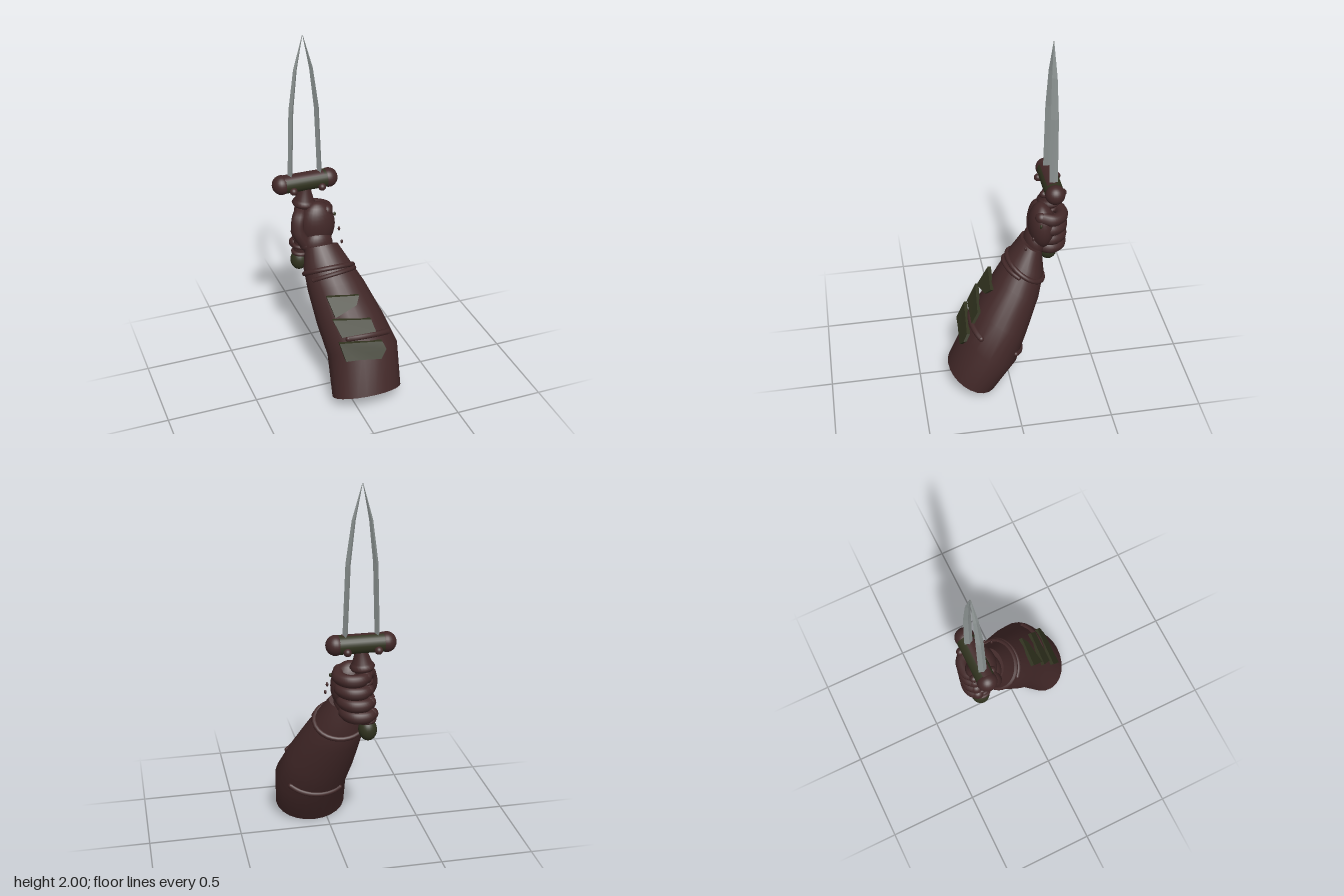
import * as THREE from 'three';
import { toCreasedNormals } from 'three/addons/utils/BufferGeometryUtils.js';

const V = (x, y, z) => new THREE.Vector3(x, y, z);
const mat = (name, color) => {
  const m = new THREE.MeshStandardMaterial({ color });
  m.name = name;
  return m;
};

// Skin over a stack of rings (counter-clockwise seen from the end), with both ends closed
function loft(rings) {
  const n = rings[0].length, pos = [], idx = [];
  rings.forEach(r => r.forEach(p => pos.push(p.x, p.y, p.z)));
  for (let i = 0; i < rings.length - 1; i++)
    for (let j = 0; j < n; j++) {
      const a = i * n + j, b = i * n + (j + 1) % n;
      idx.push(a, b, b + n, a, b + n, a + n);
    }
  [rings[0], rings[rings.length - 1]].forEach((r, end) => {
    const s = pos.length / 3;
    r.forEach(p => pos.push(p.x, p.y, p.z));
    for (let j = 1; j < n - 1; j++) end ? idx.push(s, s + j, s + j + 1) : idx.push(s, s + j + 1, s + j);
  });
  const g = new THREE.BufferGeometry();
  g.setAttribute('position', new THREE.Float32BufferAttribute(pos, 3));
  g.setIndex(idx);
  g.computeVertexNormals();
  return g;
}

// Sleeve sections: front z, front y, back z, back y, min x, max x
const SLEEVE = [
  [0.345, 0.13, 0.075, 0.005, -0.12, 0.27],
  [0.25, 0.37, -0.04, 0.19, -0.108, 0.288],
  [0.16, 0.52, -0.11, 0.36, -0.14, 0.23],
  [0.05, 0.68, -0.18, 0.54, -0.16, 0.155],
  [-0.03, 0.79, -0.21, 0.66, -0.165, 0.09],
  [-0.09, 0.86, -0.2, 0.8, -0.15, 0.035],
];
// Point on the sleeve at section t and angle a (front is -PI/2)
function sleevePoint(t, a, out = 1) {
  const i = Math.min(Math.floor(t), SLEEVE.length - 2);
  const [fz, fy, bz, by, x0, x1] = SLEEVE[i].map((v, k) => THREE.MathUtils.lerp(v, SLEEVE[i + 1][k], t - i));
  const c = Math.cos(a) * out, s = -Math.sin(a) * out / 2;
  return V((x0 + x1) / 2 + c * (x1 - x0) / 2, (fy + by) / 2 + s * (fy - by), (fz + bz) / 2 + s * (fz - bz));
}

export function createModel() {
  const model = new THREE.Group();
  const brown = mat('dark brown', 0x422828);
  const olive = mat('dark olive', 0x31331f);
  const steel = mat('steel', 0x8f9695);
  const add = (name, geo, m, p = [0, 0, 0], parent = model) => {
    const mesh = new THREE.Mesh(geo, m);
    mesh.name = name;
    mesh.position.set(...p);
    parent.add(mesh);
    return mesh;
  };
  const ball = (name, m, p, s, parent) => {
    const b = add(name, new THREE.SphereGeometry(1, 24, 16), m, p, parent);
    b.scale.set(...s);
    return b;
  };
  const tube = (name, pts, r, m, closed = false) => {
    add(name, new THREE.TubeGeometry(new THREE.CatmullRomCurve3(pts, closed), 28, r, 10, closed), m);
    if (!closed) [pts[0], pts[pts.length - 1]].forEach(p => ball(name + 'Tip', m, p.toArray(), [r, r, r]));
  };

  // Sleeve
  const rings = SLEEVE.map((_, t) => Array.from({ length: 24 }, (_, j) => sleevePoint(t, j / 24 * Math.PI * 2)));
  add('sleeve', toCreasedNormals(loft(rings), 0.9), brown);

  // Wrist cuff and cloth folds
  const arc = (t0, t1, a0, a1, n) => Array.from({ length: n }, (_, i) =>
    sleevePoint(t0 + (t1 - t0) * i / (n - 1), a0 + (a1 - a0) * i / (n - 1)));
  tube('cuffBand', arc(3.75, 3.75, 0, Math.PI * 2 * 15 / 16, 16), 0.014, brown, true);
  tube('cuffFold', arc(3.4, 3.6, -2.6, -0.5, 8), 0.012, brown);
  tube('frontFold', arc(1.45, 1.4, -2.1, -0.8, 8), 0.016, brown);
  tube('backFold', arc(1.35, 1.2, 0.7, 2.3, 8), 0.014, brown);

  // Flat plates on the front of the forearm, lifting off the sleeve on one side
  const frontZ = y => {
    const i = Math.max(0, SLEEVE.findIndex(s => s[1] > y) - 1), a = SLEEVE[i], b = SLEEVE[i + 1];
    return THREE.MathUtils.mapLinear(y, a[1], b[1], a[0], b[0]);
  };
  [
    [[-0.11, 0.645], [-0.085, 0.548], [0.045, 0.585], [0.07, 0.625]],
    [[-0.102, 0.54], [-0.07, 0.455], [0.125, 0.45], [0.11, 0.51]],
    [[-0.09, 0.43], [-0.07, 0.34], [0.0, 0.335], [0.13, 0.315], [0.165, 0.36], [0.15, 0.4]],
  ].forEach(pts => {
    const sheet = off => pts.map(([x, y]) => V(x, y, frontZ(y) + off));
    add('forearmPlate', toCreasedNormals(loft([sheet(-0.006), sheet(0.012)]), 0.5), olive);
  });

  // Fist and thumb
  ball('fist', brown, [-0.06, 0.935, -0.2], [0.1, 0.135, 0.072]);
  ball('wrist', brown, [-0.07, 0.83, -0.165], [0.085, 0.09, 0.06]);
  tube('thumb', [V(-0.135, 0.84, -0.17), V(-0.175, 0.92, -0.18), V(-0.165, 0.99, -0.2), V(-0.135, 1.01, -0.24)], 0.036, brown);

  // Curled fingers
  [1.005, 0.935, 0.865, 0.8].forEach((y, i) => {
    const x = -0.012 * i;
    tube('finger', [V(x - 0.01, y + 0.01, -0.19), V(x + 0.008, y, -0.25), V(x - 0.03, y - 0.005, -0.302),
      V(x - 0.09, y - 0.005, -0.308), V(x - 0.125, y, -0.28)], 0.034, brown);
  });
  [[0.035, 0.99, -0.18], [0.044, 0.92, -0.137], [0.045, 0.86, -0.097]].forEach((p, i) =>
    ball('knuckleStud', i ? brown : olive, p, [0.007, 0.012, 0.007]));

  // Hilt: neck, ringed grip and pommel, leaning slightly
  const hilt = new THREE.Group();
  hilt.name = 'hilt';
  hilt.position.set(-0.108, 1.14, -0.25);
  hilt.rotation.z = -0.086;
  model.add(hilt);
  const profile = [[0.001, -0.42], [0.04, -0.4], [0.04, -0.1], [0.058, -0.1], [0.066, -0.085], [0.056, -0.07], [0.05, -0.06], [0.03, 0.0], [0.03, 0.03]];
  add('grip', new THREE.LatheGeometry(profile.map(p => new THREE.Vector2(...p)), 24), brown, [0, 0, 0], hilt);
  for (let i = 0; i < 7; i++) {
    const ring = add('gripRing', new THREE.TorusGeometry(0.04, 0.012, 8, 24), brown, [0, -0.13 - i * 0.043, 0], hilt);
    ring.rotation.x = Math.PI / 2;
  }
  ball('pommel', olive, [0, -0.44, -0.008], [0.049, 0.06, 0.049], hilt);

  // Crossguard with round ends and studs
  const gx = -0.107, gy = 1.18, gz = -0.253;
  const bar = add('guard', new THREE.CylinderGeometry(0.05, 0.05, 0.28, 24), olive, [gx, gy, gz]);
  bar.rotation.z = Math.PI / 2;
  const strip = add('guardTop', new THREE.CylinderGeometry(0.0512, 0.0512, 0.24, 12, 1, true, Math.PI / 4, Math.PI / 3),
    brown, [gx - 0.02, gy, gz]);
  strip.rotation.z = Math.PI / 2;
  for (const s of [-1, 1]) {
    ball('guardEnd', brown, [gx + s * 0.132, gy, gz], [0.051, 0.053, 0.053]);
    for (const f of [-1, 1])
      ball('guardStud', brown, [gx + s * 0.08, gy - 0.025, gz + f * 0.05], [0.021, 0.021, 0.022]);
  }

  // Twin blades meeting at the tip: y, outer edge, inner edge, half thickness
  const blade = [[1.2, 0.097, 0.07, 0.023], [1.6, 0.083, 0.056, 0.021], [1.82, 0.053, 0.033, 0.014], [2, 0.002, 0, 0.001]];
  for (const s of [-1, 1]) {
    const g = loft(blade.map(([y, o, i, h]) => {
      const lo = Math.min(s * o, s * i), hi = Math.max(s * o, s * i), mid = (lo + hi) / 2;
      return [V(gx + hi, y, gz), V(gx + mid, y, gz - h), V(gx + lo, y, gz), V(gx + mid, y, gz + h)];
    })).toNonIndexed();
    g.computeVertexNormals();
    add(s > 0 ? 'leftBlade' : 'rightBlade', g, steel);
  }
  return model;
}
